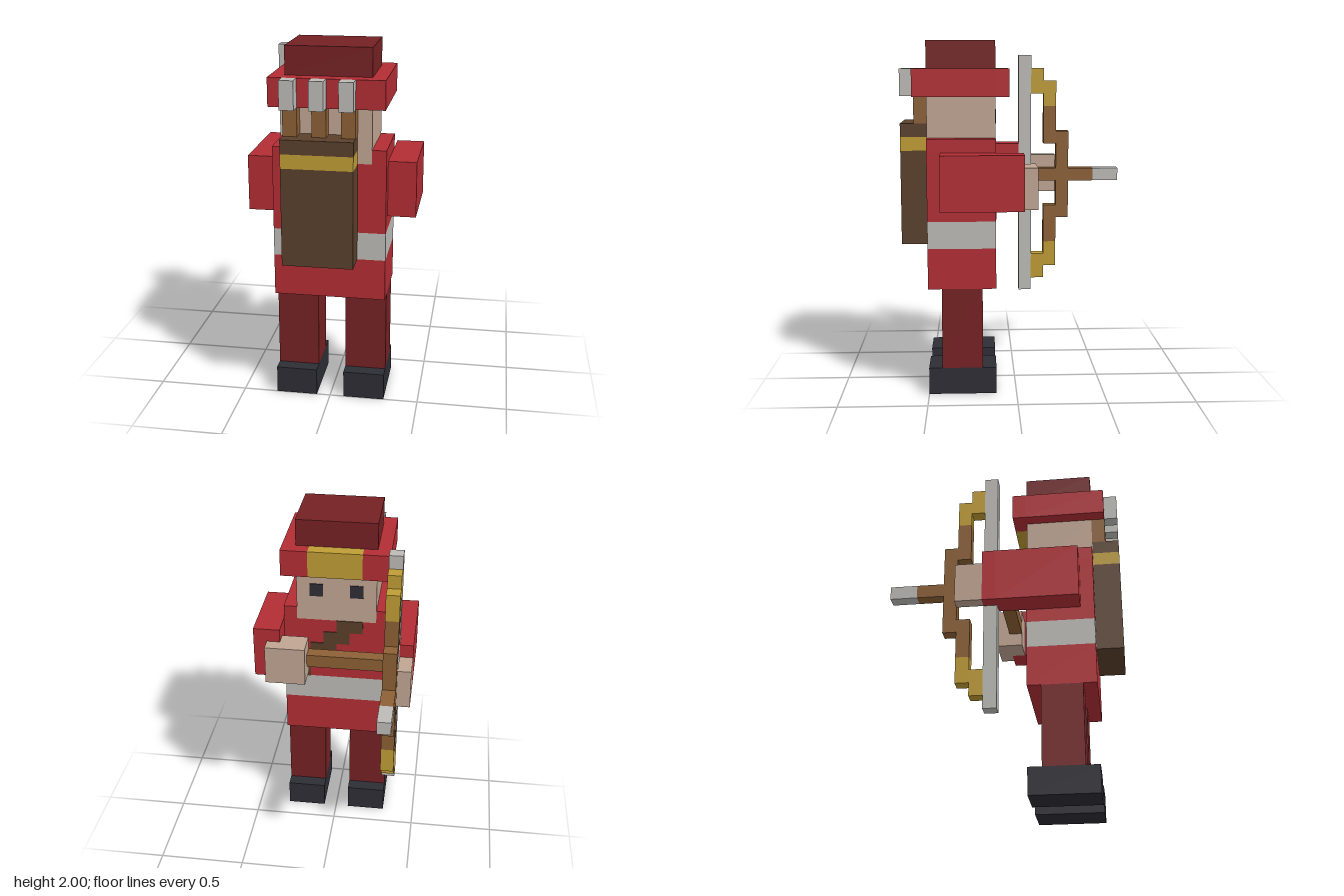
import * as THREE from 'three';

const U = 2 / 26; // one block

const mat = (name, color) => {
  const m = new THREE.MeshStandardMaterial({ color });
  m.name = name;
  return m;
};

export function createModel() {
  const red = mat('red cloth', 0xb22d34);
  const darkRed = mat('dark red cloth', 0x752123);
  const skin = mat('skin', 0xc0a592);
  const grey = mat('light grey', 0xbcbbb7);
  const wood = mat('wood', 0x8c6035);
  const leather = mat('dark leather', 0x5a402b);
  const gold = mat('gold', 0xbf9c35);
  const black = mat('blue black', 0x2d2d35);

  const root = new THREE.Group();
  root.name = 'archer';
  const group = (name) => {
    const g = new THREE.Group();
    g.name = name;
    root.add(g);
    return g;
  };
  // Box between two corners given in blocks
  const box = (parent, name, material, [x0, x1], [y0, y1], [z0, z1]) => {
    const geo = new THREE.BoxGeometry((x1 - x0) * U, (y1 - y0) * U, (z1 - z0) * U);
    const mesh = new THREE.Mesh(geo, material);
    mesh.name = name;
    mesh.position.set((x0 + x1) / 2 * U, (y0 + y1) / 2 * U, (z0 + z1) / 2 * U);
    parent.add(mesh);
    return mesh;
  };
  const BODY = [1.5, 6.5];
  const PLATE = [1.43, 1.5]; // thin painted layer on the chest and face

  // Legs and boots
  for (const [side, x] of [['left', [1, 4]], ['right', [-4, -1]]]) {
    const leg = group(side + 'Leg');
    box(leg, 'boot', black, x, [0, 2], BODY);
    box(leg, 'trouser', darkRed, x, [2, 8], [2.5, 5.5]);
  }

  // Tunic with belt, shoulders and stepped chest strap
  const torso = group('torso');
  box(torso, 'skirt', red, [-4, 4], [8, 11], BODY);
  box(torso, 'belt', grey, [-4, 4], [11, 13], BODY);
  box(torso, 'chest', red, [-4, 4], [13, 18], BODY);
  box(torso, 'leftShoulder', red, [3, 4], [18, 19], BODY);
  box(torso, 'rightShoulder', red, [-4, -3], [18, 19], BODY);
  for (let k = 0; k < 5; k++) {
    box(torso, 'strap', leather, [2 - k, 3 - k], [13 + k, Math.min(15 + k, 18)], PLATE);
  }

  // Head and hat
  const head = group('head');
  box(head, 'face', skin, [-3, 3], [18, 22], BODY);
  box(head, 'leftEye', black, [1, 2], [20, 21], PLATE);
  box(head, 'rightEye', black, [-2, -1], [20, 21], PLATE);
  box(head, 'hatBrim', red, [-4, 4], [22, 24], [1.5, 7.5]);
  box(head, 'brimFrontLeft', red, [2, 4], [22, 24], [0.5, 1.5]);
  box(head, 'brimFrontRight', red, [-4, -2], [22, 24], [0.5, 1.5]);
  box(head, 'hatBadge', gold, [-2, 2], [22, 24], [0.5, 1.5]);
  box(head, 'hatCrown', darkRed, [-3, 3], [24, 26], BODY);

  // Left arm, its hand reaching inward to draw
  const leftArm = group('leftArm');
  box(leftArm, 'sleeve', red, [4, 6], [14, 18], [-0.5, 5.5]);
  box(leftArm, 'hand', skin, [2, 4], [14, 17], [-1.5, 0.5]);
  box(leftArm, 'knuckles', skin, [4, 5], [14, 17], [-1.5, -0.5]);

  // Right arm, its hand beside the bow grip
  const rightArm = group('rightArm');
  box(rightArm, 'sleeve', red, [-6, -4], [14, 18], [-0.5, 5.5]);
  box(rightArm, 'cuff', red, [-6, -5], [14, 18], [-1.5, -0.5]);
  box(rightArm, 'hand', skin, [-6, -5], [14, 17], [-3.5, -1.5]);

  // Bow, mirrored above and below its middle at 15.5 blocks
  const bow = group('bow');
  const BX = [-5, -4];
  box(bow, 'string', grey, BX, [6, 25], [-1.5, -0.5]);
  box(bow, 'grip', wood, BX, [12, 19], [-4.5, -3.5]);
  const flip = ([a, b]) => [31 - b, 31 - a];
  for (const f of [(y) => y, flip]) {
    box(bow, 'limb', wood, BX, f([18, 21]), [-3.5, -2.5]);
    box(bow, 'limbEnd', gold, BX, f([21, 23]), [-3.5, -2.5]);
    box(bow, 'limbTip', gold, BX, f([22, 24]), [-2.5, -1.5]);
  }

  // Arrow on the bow and the rod to the drawing hand
  const arrow = group('arrow');
  box(arrow, 'shaftRear', wood, BX, [15, 16], [-3.5, -1.5]);
  box(arrow, 'shaftFront', wood, BX, [15, 16], [-6.5, -4.5]);
  box(arrow, 'arrowHead', grey, BX, [15, 16], [-8.5, -6.5]);
  box(arrow, 'drawRod', wood, [-4, 2], [15, 16], [-0.5, 0.5]);

  // Quiver with three spare arrows
  const quiver = group('quiver');
  box(quiver, 'quiverBody', leather, [-3, 2], [11, 18], [6.5, 8.5]);
  box(quiver, 'quiverBand', gold, [-3, 2], [18, 19], [6.5, 8.5]);
  box(quiver, 'quiverRim', leather, [-3, 2], [19, 20], [6.5, 8.5]);
  for (const x of [-3, -1, 1]) {
    box(quiver, 'spareShaft', wood, [x, x + 1], [20, 22], [6.5, 7.5]);
    box(quiver, 'feather', grey, [x, x + 1], [22, 24], [7.5, 8.5]);
  }

  return root;
}
